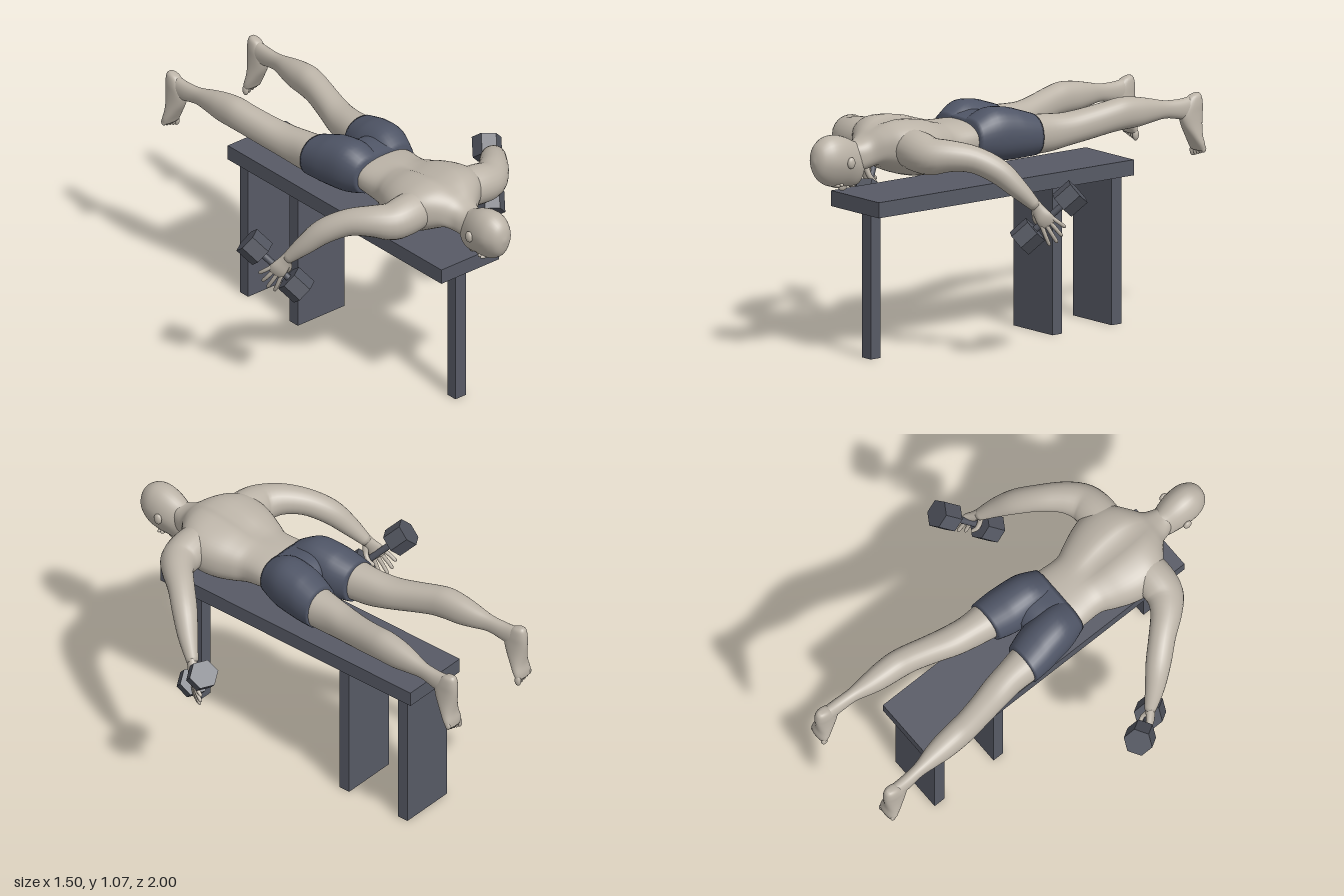
import * as THREE from 'three';

const V = (x, y, z) => new THREE.Vector3(x, y, z);
const mat = (name, color) => Object.assign(new THREE.MeshStandardMaterial({ color }), { name });

// Catmull-Rom interpolation of every column of a section table
function refine(rows, steps) {
  const out = [], n = rows.length - 1;
  for (let i = 0; i < n; i++) {
    const a = rows[Math.max(i - 1, 0)], b = rows[i], c = rows[i + 1], d = rows[Math.min(i + 2, n)];
    for (let k = 0; k < steps; k++) {
      const t = k / steps;
      out.push(b.map((_, j) => b[j] + 0.5 * t * (c[j] - a[j] + t * (2 * a[j] - 5 * b[j] + 4 * c[j] - d[j]
        + t * (3 * (b[j] - c[j]) + d[j] - a[j])))));
    }
  }
  out.push(rows[n]);
  return out;
}

// Closed smooth skin over sections [x, y, z, half width, half height]
function loft(rows, { ref = V(0, 1, 0), axis = null, power = 2, steps = 4, sides = 28, shape = null } = {}) {
  const R = refine(rows, steps), pos = [], idx = [], C = R.map(r => V(r[0], r[1], r[2]));
  const bulge = c => Math.sign(c) * Math.pow(Math.abs(c), 2 / power);
  R.forEach((r, i) => {
    const t = axis ? axis.clone()
      : C[Math.min(i + 1, C.length - 1)].clone().sub(C[Math.max(i - 1, 0)]).normalize();
    const v = ref.clone().addScaledVector(t, -ref.dot(t)).normalize();
    const u = v.clone().cross(t);
    for (let j = 0; j < sides; j++) {
      const a = j / sides * Math.PI * 2;
      const p = C[i].clone().addScaledVector(u, r[3] * bulge(Math.cos(a))).addScaledVector(v, r[4] * bulge(Math.sin(a)));
      if (shape) shape(p, r);
      pos.push(p.x, p.y, p.z);
    }
  });
  for (let i = 0; i < R.length - 1; i++) for (let j = 0; j < sides; j++) {
    const a = i * sides + j, b = i * sides + (j + 1) % sides;
    idx.push(a, b, a + sides, b, b + sides, a + sides);
  }
  const last = (R.length - 1) * sides, c0 = R.length * sides, c1 = c0 + 1, end = C[C.length - 1];
  pos.push(C[0].x, C[0].y, C[0].z, end.x, end.y, end.z);
  for (let j = 0; j < sides; j++) {
    const k = (j + 1) % sides;
    idx.push(c0, k, j, c1, last + j, last + k);
  }
  const g = new THREE.BufferGeometry();
  g.setAttribute('position', new THREE.Float32BufferAttribute(pos, 3));
  g.setIndex(idx);
  g.computeVertexNormals();
  return g;
}

// Extents [z, x0, x1, y0, y1] to a section, mirrored by s
const span = (s = 1) => ([z, x0, x1, y0, y1]) => [s * (x0 + x1) / 2, (y0 + y1) / 2, z, (x1 - x0) / 2, (y1 - y0) / 2];
const wide = ([z, w, y0, y1]) => span()([z, -w, w, y0, y1]);

export function createModel() {
  const model = new THREE.Group();
  const skin = mat('skin', 0xbcb4a8), cloth = mat('shorts cloth', 0x4f5566);
  const benchMat = mat('bench', 0x575a65), iron = mat('iron', 0x50535d);
  const add = (name, geo, m, parent = model) => {
    const mesh = new THREE.Mesh(geo, m);
    mesh.name = name;
    parent.add(mesh);
    return mesh;
  };
  const box = (name, w, y0, y1, z0, z1) =>
    add(name, new THREE.BoxGeometry(w, y1 - y0, z1 - z0), benchMat).position.set(0, (y0 + y1) / 2, (z0 + z1) / 2);
  const ball = (name, x, y, z, rx, ry, rz) =>
    add(name, new THREE.SphereGeometry(1, 20, 14).scale(rx, ry, rz).translate(x, y, z), skin);

  // Bench
  box('benchTop', 0.334, 0.665, 0.735, -0.675, 0.765);
  box('benchFrontLeg', 0.06, 0, 0.665, 0.645, 0.7);
  box('benchMiddlePanel', 0.27, 0, 0.665, -0.295, -0.24);
  box('benchRearPanel', 0.27, 0, 0.665, -0.63, -0.575);

  // Torso and neck, with a spine groove along the back
  add('torso', loft([
    [0.15, 0.15, 0.85, 1.0], [0.2, 0.158, 0.845, 1.008], [0.3, 0.155, 0.823, 1.014], [0.36, 0.18, 0.81, 1.028],
    [0.43, 0.21, 0.8, 1.05], [0.5, 0.228, 0.803, 1.063], [0.57, 0.225, 0.82, 1.069], [0.63, 0.185, 0.85, 1.06],
    [0.68, 0.125, 0.87, 1.035], [0.72, 0.08, 0.858, 1.005], [0.76, 0.064, 0.85, 0.985], [0.8, 0.05, 0.86, 0.98],
  ].map(wide), {
    axis: V(0, 0, 1), power: 2.4, sides: 48,
    shape: p => {
      if (p.y > 0.95) p.y -= 0.024 * Math.exp(-((p.x / 0.035) ** 2) - ((p.z - 0.5) / 0.17) ** 4);
    },
  }), skin);

  // Head facing down, narrowing towards the face
  add('head', loft([
    [0.735, 0.03, 0.85, 0.95], [0.748, 0.05, 0.8, 0.975], [0.78, 0.062, 0.786, 0.988], [0.83, 0.075, 0.792, 1.013],
    [0.88, 0.081, 0.795, 1.027], [0.93, 0.077, 0.807, 1.024], [0.97, 0.058, 0.835, 1.0], [0.99, 0.036, 0.868, 0.97],
    [1.0, 0.008, 0.912, 0.928],
  ].map(wide), {
    axis: V(0, 0, 1), power: 2.1, sides: 32,
    shape: (p, r) => { p.x *= 1 - 0.28 * Math.max(0, (r[1] - p.y) / 0.12); },
  }), skin);
  ball('nose', 0, 0.795, 0.835, 0.013, 0.024, 0.026);
  ball('lips', 0, 0.79, 0.788, 0.021, 0.009, 0.012);
  ball('brow', 0, 0.804, 0.885, 0.045, 0.012, 0.012);

  // Middle of the shorts between the two shorts legs
  add('shortsMiddle', loft([
    [0.19, 0.163, 0.842, 1.013], [0.1, 0.17, 0.822, 1.032], [0.04, 0.15, 0.825, 1.025], [0, 0.1, 0.84, 1.0],
    [-0.02, 0.04, 0.87, 0.97],
  ].map(wide), { axis: V(0, 0, -1), power: 2.5, sides: 40 }), cloth);

  for (const s of [1, -1]) {
    const side = s > 0 ? 'left' : 'right';
    const back = { axis: V(0, 0, -1), power: 2.2, sides: 32 };

    ball(side + 'Ear', s * 0.083, 0.91, 0.852, 0.013, 0.026, 0.02);
    ball(side + 'Eyelid', s * 0.028, 0.806, 0.868, 0.015, 0.01, 0.01);

    // Legs
    add(side + 'ShortsLeg', loft([
      [0.19, 0.0, 0.167, 0.848, 1.013], [0.1, -0.002, 0.2, 0.823, 1.06], [0, 0.002, 0.215, 0.818, 1.053],
      [-0.06, 0.012, 0.221, 0.82, 1.035], [-0.125, 0.034, 0.222, 0.824, 1.013],
    ].map(span(s)), back), cloth);
    add(side + 'Leg', loft([
      [-0.1, 0.045, 0.215, 0.83, 1.008], [-0.2, 0.065, 0.211, 0.83, 1.0], [-0.3, 0.085, 0.225, 0.848, 0.995],
      [-0.4, 0.115, 0.243, 0.866, 1.008], [-0.5, 0.14, 0.262, 0.885, 1.026], [-0.57, 0.15, 0.27, 0.892, 1.036],
      [-0.65, 0.16, 0.27, 0.895, 1.028], [-0.72, 0.175, 0.264, 0.905, 1.013], [-0.8, 0.198, 0.257, 0.914, 0.994],
      [-0.88, 0.204, 0.262, 0.9, 0.99], [-0.94, 0.206, 0.262, 0.89, 0.995], [-0.98, 0.214, 0.255, 0.91, 0.99],
    ].map(span(s)), back), skin);

    // Foot hanging toes down: [y, half width, front z, sole z]
    add(side + 'Foot', loft([
      [1.008, 0.01, -0.965, -0.983], [0.995, 0.024, -0.93, -0.994], [0.96, 0.031, -0.9, -1], [0.92, 0.033, -0.88, -1],
      [0.87, 0.037, -0.893, -0.995], [0.82, 0.044, -0.922, -0.992], [0.78, 0.049, -0.947, -0.998],
      [0.752, 0.045, -0.963, -0.998],
    ].map(([y, w, z0, z1]) => [s * 0.236, y, (z0 + z1) / 2, w, (z0 - z1) / 2]),
    { axis: V(0, -1, 0), ref: V(0, 0, 1), power: 2.3 }), skin);
    for (let i = 0; i < 5; i++)
      ball(side + 'Toe' + (i + 1), s * (0.2 + i * 0.0185), 0.745 + i * 0.004, -0.982,
        i ? 0.0095 : 0.013, 0.026 - i * 0.002, i ? 0.013 : 0.016);

    // Arm from inside the shoulder to the wrist
    add(side + 'Arm', loft([
      [0.1, 0.955, 0.565, 0.085], [0.2, 0.945, 0.57, 0.09], [0.28, 0.935, 0.56, 0.084], [0.35, 0.94, 0.51, 0.07],
      [0.42, 0.925, 0.43, 0.06], [0.49, 0.872, 0.35, 0.056], [0.545, 0.795, 0.285, 0.044], [0.59, 0.715, 0.22, 0.026],
    ].map(([x, y, z, r]) => [s * x, y, z, r, r]), { sides: 24 }), skin);

    // Dumbbell with hexagonal heads
    const grip = V(s * 0.616, 0.664, 0.17), bar = V(s * 0.445, 0.667, -0.597).normalize();
    const bell = new THREE.Group();
    bell.name = side + 'Dumbbell';
    bell.position.copy(grip);
    bell.quaternion.setFromUnitVectors(V(0, 1, 0), bar);
    model.add(bell);
    add('handle', new THREE.CylinderGeometry(0.015, 0.015, 0.2, 16), iron, bell);
    for (const e of [-1, 1]) {
      const head = new THREE.CylinderGeometry(0.066, 0.066, 0.095, 6).toNonIndexed();
      head.computeVertexNormals();
      add(e > 0 ? 'outerHead' : 'innerHead', head, iron, bell).position.y = e * 0.126;
    }

    // Hand: k along the fingers, w across the palm, h away from the palm
    const along = V(s * 0.28, -0.82, -0.5).normalize();
    const out = V(s * 0.82, -0.06, 0.55).normalize();
    const at = (k, w, h) => V(s * 0.59, 0.715, 0.22).addScaledVector(along, k).addScaledVector(bar, w).addScaledVector(out, h);
    const limb = (name, rows, sides) => add(side + name, loft(
      rows.map(([k, w, h, a, b]) => [...at(k, w, h).toArray(), a, b]), { ref: out, sides }), skin);
    limb('Palm', [[-0.02, 0, 0, 0.025, 0.024], [0.02, 0, 0.006, 0.03, 0.02], [0.06, 0, 0.014, 0.038, 0.017],
      [0.09, 0, 0.012, 0.038, 0.013], [0.1, 0, 0.01, 0.03, 0.008]], 20);
    for (let i = 0; i < 4; i++) {
      const w = (i - 1.5) * 0.019, len = [0.095, 0.108, 0.1, 0.08][i];
      limb('Finger' + (i + 1), [[0.08, w, 0.012, 0.01, 0.01], [0.08 + len * 0.5, w * 1.45, 0.012, 0.009, 0.009],
        [0.08 + len * 0.9, w * 1.75, 0.004, 0.008, 0.008], [0.08 + len, w * 1.8, 0.001, 0.003, 0.003]], 10);
    }
    limb('Thumb', [[0.01, -0.015, 0.002, 0.014, 0.013], [0.04, -0.036, -0.01, 0.012, 0.012],
      [0.07, -0.04, -0.026, 0.01, 0.01], [0.098, -0.032, -0.03, 0.008, 0.008], [0.104, -0.03, -0.03, 0.003, 0.003]], 12);
  }
  return model;
}
